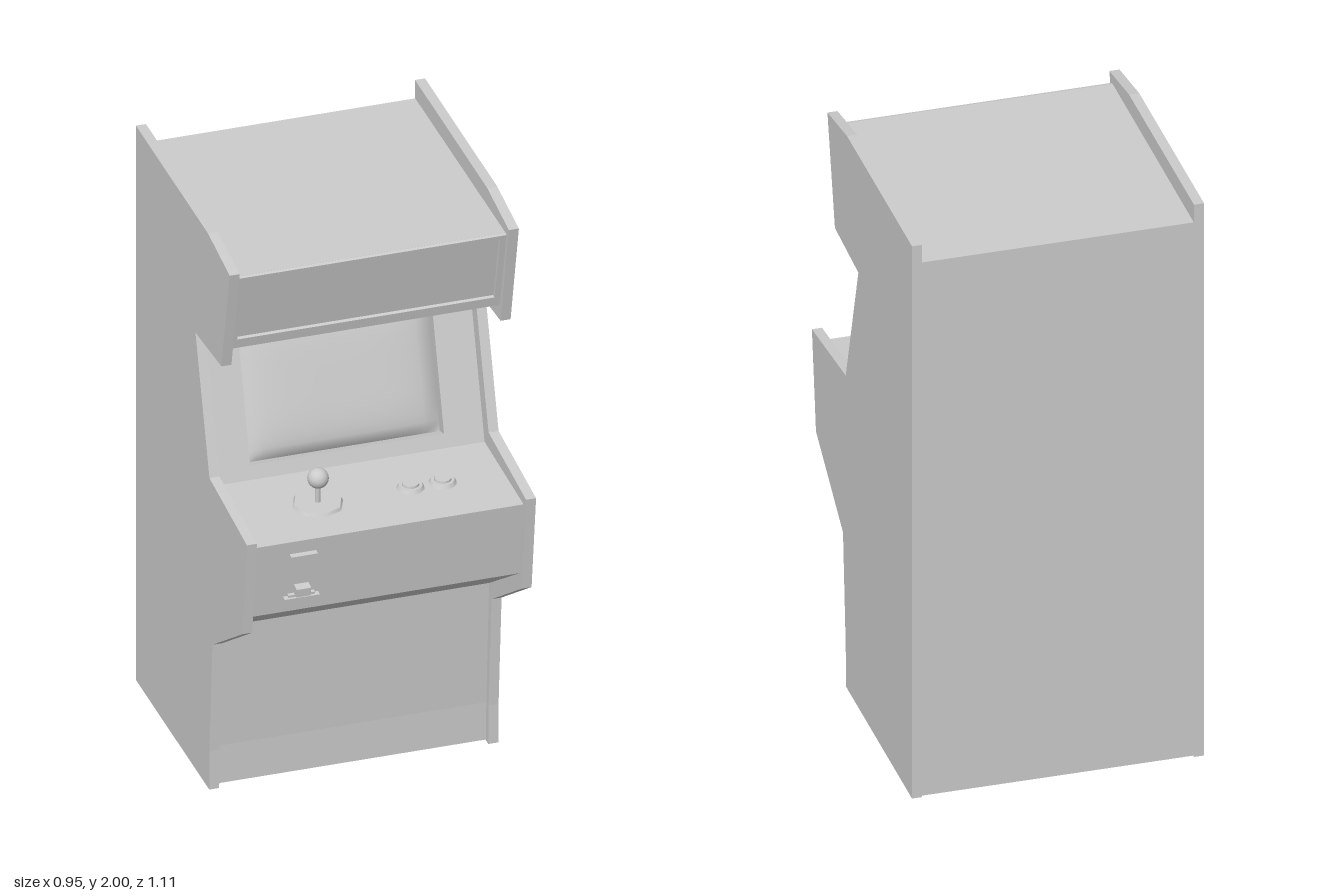
import * as THREE from 'three';

const grey = new THREE.MeshStandardMaterial({ color: 0xcccccc, side: THREE.DoubleSide });

function add(parent, name, geometry, x = 0, y = 0, z = 0) {
  const mesh = new THREE.Mesh(geometry, grey);
  mesh.name = name;
  mesh.position.set(x, y, z);
  parent.add(mesh);
  return mesh;
}

// Extrudes a [z, y] outline across x, centred on x = 0
function slab(points, width) {
  const shape = new THREE.Shape(points.map(([z, y]) => new THREE.Vector2(z, y)));
  return new THREE.ExtrudeGeometry(shape, { depth: width, bevelEnabled: false })
    .rotateY(-Math.PI / 2).translate(width / 2, 0, 0);
}

// Group whose local y runs from a to b ([z, y] points) and whose local z faces outward
function slope(parent, name, a, b) {
  const group = new THREE.Group();
  group.name = name;
  group.position.set(0, a[1], a[0]);
  group.rotation.x = Math.atan2(b[0] - a[0], b[1] - a[1]);
  parent.add(group);
  return group;
}

// Point p moved inward by d from the face running a to b
function inset(p, a, b, d) {
  const t = Math.atan2(b[0] - a[0], b[1] - a[1]);
  return [p[0] - d * Math.cos(t), p[1] + d * Math.sin(t)];
}

function rect(target, x0, y0, x1, y1) {
  target.moveTo(x0, y0).lineTo(x1, y0).lineTo(x1, y1).lineTo(x0, y1).closePath();
  return target;
}

// Flat frame with a rectangular window, its front at local z = 0
function frame(width, height, window, depth) {
  const shape = rect(new THREE.Shape(), -width / 2, 0, width / 2, height);
  shape.holes.push(rect(new THREE.Path(), ...window));
  return new THREE.ExtrudeGeometry(shape, { depth, bevelEnabled: false }).translate(0, 0, -depth);
}

export function createModel() {
  const model = new THREE.Group();
  model.name = 'arcadeCabinet';
  const inner = 0.89;

  // Side panels
  const side = [[-0.555, 0], [0.178, 0], [0.18, 0.14], [0.21, 0.54], [0.51, 0.74], [0.555, 1.085],
    [0.18, 1.125], [0.04, 1.575], [0.3, 1.593], [0.383, 1.965], [0.165, 2], [-0.555, 2]];
  for (const s of [1, -1]) {
    add(model, s > 0 ? 'leftSidePanel' : 'rightSidePanel', slab(side, 0.033), s * 0.461);
  }

  // Body between the panels, set back behind the screen and the marquee
  const s0 = [0.14, 1.07], s1 = [-0.03, 1.63], m0 = [0.29, 1.645], m1 = [0.36, 1.935];
  const screenDepth = 0.045, marqueeDepth = 0.012;
  add(model, 'body', slab([[-0.553, 0.004], [0.155, 0.004], [0.157, 0.14], [0.185, 0.585],
    [0.49, 0.785], [0.53, 1.055], s0,
    inset(s0, s0, s1, screenDepth), inset(s1, s0, s1, screenDepth), s1, m0,
    inset(m0, m0, m1, marqueeDepth), inset(m1, m0, m1, marqueeDepth), [-0.553, 1.935]], inner));

  // Screen surround and bulging glass
  const screen = slope(model, 'screenUnit', s0, s1);
  add(screen, 'screenSurround', frame(inner, 0.585, [-0.325, 0.047, 0.315, 0.528], screenDepth));
  const glass = new THREE.PlaneGeometry(0.64, 0.481, 24, 24);
  const p = glass.attributes.position;
  for (let i = 0; i < p.count; i++) {
    const u = Math.abs(p.getX(i)) / 0.32, v = Math.abs(p.getY(i)) / 0.2405;
    p.setZ(i, 0.038 * Math.sqrt(Math.max(0, (1 - u ** 4) * (1 - v ** 4))));
  }
  glass.computeVertexNormals();
  add(screen, 'screenGlass', glass, -0.005, 0.2875, -screenDepth + 0.001);

  // Marquee frame
  const marquee = slope(model, 'marquee', m0, m1);
  add(marquee, 'marqueeFrame', frame(inner, 0.298, [-0.425, 0.036, 0.425, 0.281], marqueeDepth));

  // Controls: local y runs back along the panel, local z points up from it
  const controls = slope(model, 'controlPanel', [0.53, 1.055], s0);
  const disc = (name, r0, r1, h, sides, x, y, z) =>
    add(controls, name, new THREE.CylinderGeometry(r0, r1, h, sides).rotateX(Math.PI / 2), x, y, z + h / 2);
  disc('joystickBase', 0.078, 0.084, 0.01, 8, -0.172, 0.193, 0);
  disc('joystickStick', 0.009, 0.009, 0.09, 12, -0.172, 0.193, 0);
  add(controls, 'joystickBall', new THREE.SphereGeometry(0.034, 20, 14), -0.172, 0.193, 0.096);
  for (const x of [0.137, 0.243]) {
    disc('buttonRim', 0.038, 0.045, 0.012, 12, x, 0.2, 0);
    disc('buttonCap', 0.027, 0.03, 0.019, 12, x, 0.2, 0);
  }

  // Coin slot and return tray on the front face
  const coin = slope(model, 'coinUnit', [0.49, 0.785], [0.53, 1.055]);
  const box = (name, w, h, d, y) =>
    add(coin, name, new THREE.BoxGeometry(w, h, d), -0.282, y, d / 2);
  box('coinSlotBar', 0.088, 0.006, 0.018, 0.223);
  box('coinSlotStem', 0.018, 0.07, 0.012, 0.186);
  box('coinReturnButton', 0.048, 0.03, 0.03, 0.088);
  box('coinReturnTray', 0.088, 0.008, 0.012, 0.066);
  box('coinReturnLip', 0.116, 0.006, 0.018, 0.058);
  return model;
}
